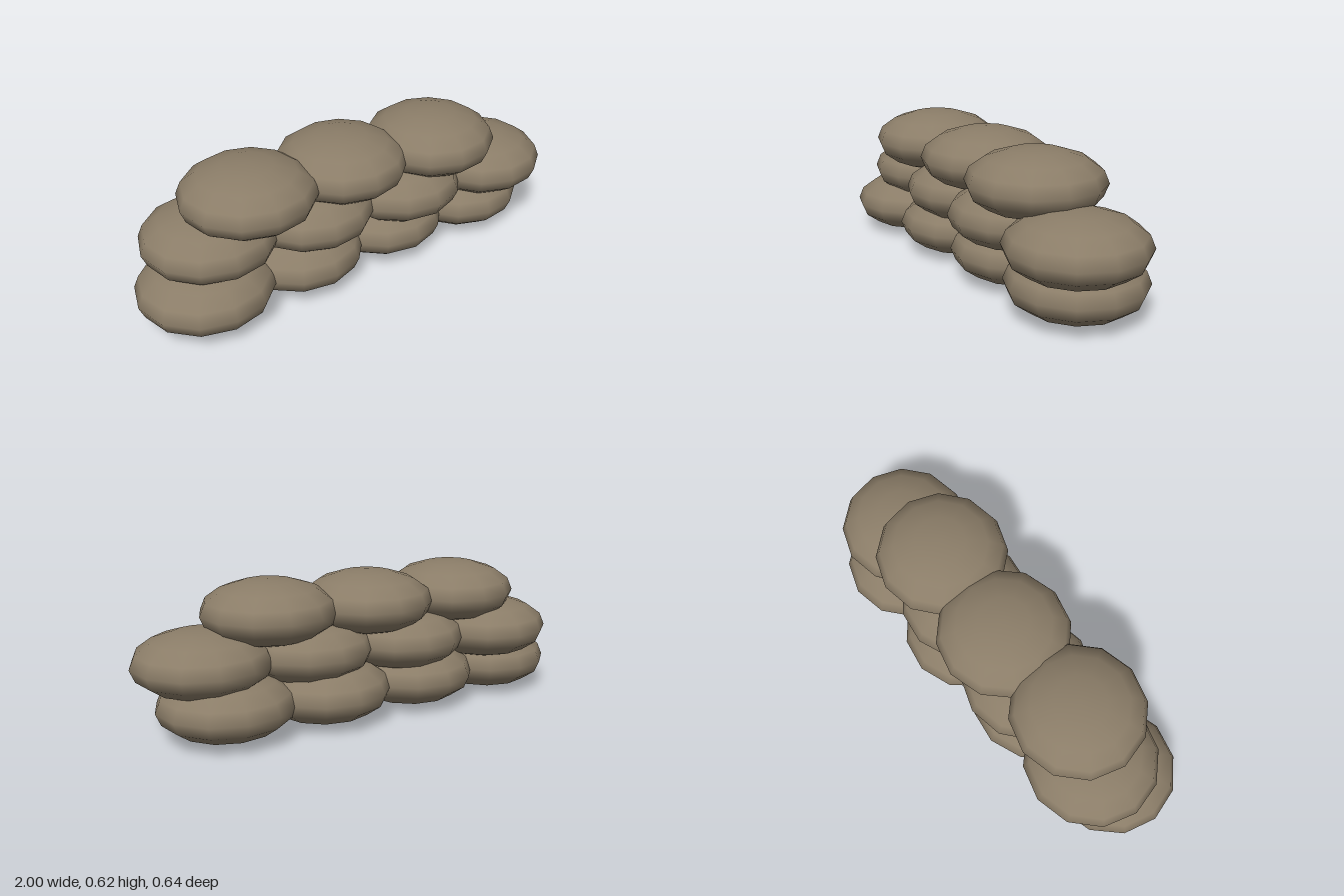
import * as THREE from 'three';

// Stacked sandbag wall: three staggered rows of flattened, slightly turned bags.
export function createModel() {
  const wall = new THREE.Group();
  wall.name = 'sandbagWall';

  const burlap = new THREE.MeshStandardMaterial({ color: 0x8b7d68 });
  burlap.name = 'burlap';

  // One shared bag shape: a coarse, smooth-shaded flattened sphere
  const bag = new THREE.SphereGeometry(1, 12, 8).scale(0.29, 0.137, 0.285);

  // Each bag: [x, z, yaw]
  const rows = [
    { name: 'bottomRow', y: 0.137, bags: [[-0.71, 0.035, 0], [-0.26, 0, 0.1], [0.19, -0.027, 0.07], [0.635, -0.02, -0.09]] },
    { name: 'middleRow', y: 0.312, bags: [[-0.645, -0.037, -0.04], [-0.2, -0.005, -0.1], [0.25, 0.018, 0.1], [0.71, 0.035, -0.1]] },
    { name: 'topRow', y: 0.487, bags: [[-0.485, 0.015, -0.04], [-0.035, 0, 0], [0.415, 0.03, -0.11]] },
  ];

  for (const { name, y, bags } of rows) {
    const row = new THREE.Group();
    row.name = name;
    row.position.y = y;
    bags.forEach(([x, z, yaw], i) => {
      const mesh = new THREE.Mesh(bag, burlap);
      mesh.name = `sandbag${i + 1}`;
      mesh.position.set(x, 0, z);
      mesh.rotation.y = yaw;
      row.add(mesh);
    });
    wall.add(row);
  }
  return wall;
}
